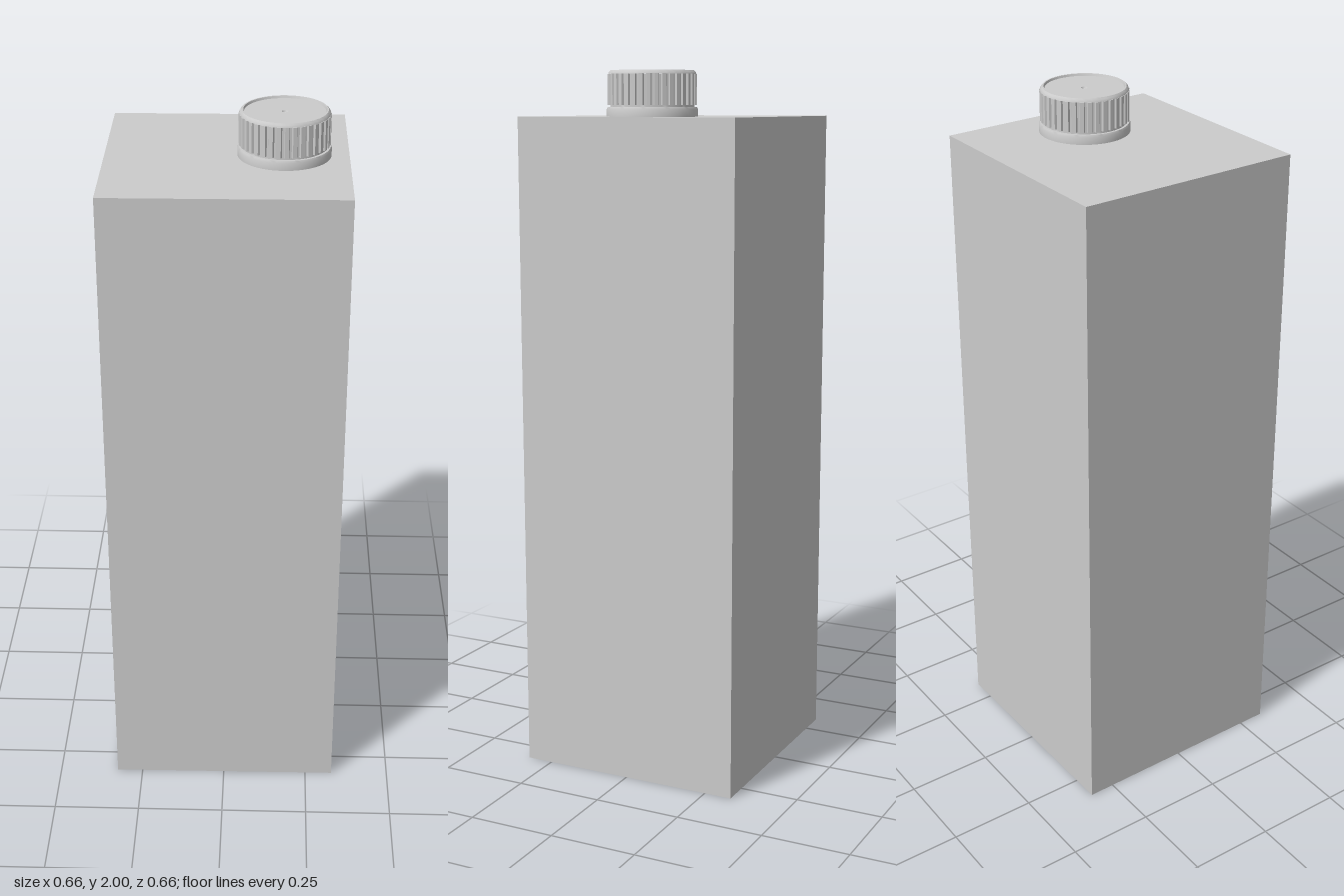
import * as THREE from 'three';
import { toCreasedNormals } from 'three/addons/utils/BufferGeometryUtils.js';

const grey = new THREE.MeshStandardMaterial({ color: 0xcccccc });

function part(name, geometry, parent) {
  const mesh = new THREE.Mesh(geometry, grey);
  mesh.name = name;
  parent.add(mesh);
  return mesh;
}

function turned(points, segments = 72) {
  const profile = points.map(([r, y]) => new THREE.Vector2(r, y));
  return toCreasedNormals(new THREE.LatheGeometry(profile, segments), 0.5);
}

// Ring outline with evenly spaced raised ribs
function ribbedRing(outer, inner, hole, ribs, height) {
  const shape = new THREE.Shape();
  const step = (Math.PI * 2) / ribs;
  for (let i = 0; i < ribs; i++) {
    [[0, outer], [0.5, outer], [0.62, inner], [0.88, inner]].forEach(([t, r], k) => {
      const a = (i + t) * step;
      const x = Math.cos(a) * r, y = Math.sin(a) * r;
      if (i + k === 0) shape.moveTo(x, y);
      else shape.lineTo(x, y);
    });
  }
  shape.closePath();
  shape.holes.push(new THREE.Path().absarc(0, 0, hole, 0, Math.PI * 2, true));
  const geometry = new THREE.ExtrudeGeometry(shape, { depth: height, bevelEnabled: false, curveSegments: 36 });
  return geometry.rotateX(-Math.PI / 2);
}

export function createModel() {
  const model = new THREE.Group();
  model.name = 'carton';

  // Square carton body, turned very slightly
  const body = part('cartonBody', new THREE.BoxGeometry(0.656, 1.875, 0.656), model);
  body.position.y = 0.9375;
  body.rotation.y = 0.006;

  // Screw cap, set to one side of the top
  const cap = new THREE.Group();
  cap.name = 'screwCap';
  cap.position.set(0.154, 1.875, -0.001);
  model.add(cap);

  // Collar at the foot of the cap
  part('capCollar', turned([
    [0.126, 0], [0.126, 0.02], [0.123, 0.026], [0.116, 0.026], [0.116, 0.034],
  ]), cap);

  // Gripping ribs
  const grip = part('capGrip', ribbedRing(0.123, 0.117, 0.111, 36, 0.083), cap);
  grip.position.y = 0.032;

  // Rim, shallow recessed top and centre dimple
  part('capTop', turned([
    [0.121, 0.115], [0.119, 0.121], [0.115, 0.125], [0.111, 0.125], [0.109, 0.119],
    [0.009, 0.119], [0.007, 0.115], [0.004, 0.113], [0, 0.112],
  ]), cap);

  return model;
}
